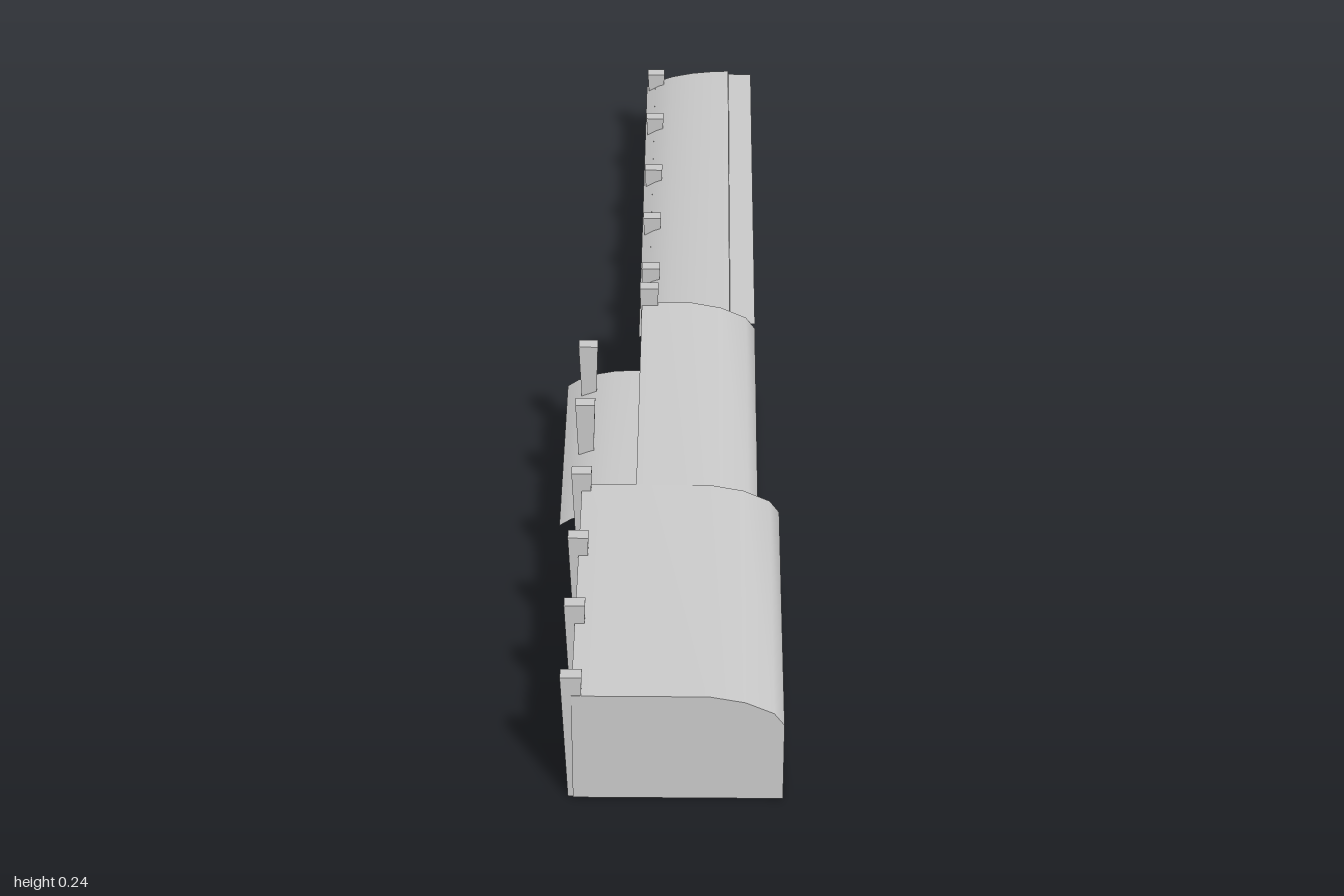
import * as THREE from 'three';
import { toCreasedNormals } from 'three/addons/utils/BufferGeometryUtils.js';

const material = new THREE.MeshStandardMaterial({ color: 0xcccccc, side: THREE.DoubleSide });

function addMesh(parent, name, geometry) {
  const mesh = new THREE.Mesh(geometry, material);
  mesh.name = name;
  parent.add(mesh);
  return mesh;
}

// Closed hall: straight left wall, flat roof and a rounded right shoulder
function hall(left, right, zBack, zFront) {
  const s = new THREE.Shape();
  s.moveTo(left, 0.003);
  s.lineTo(right, 0.003);
  s.lineTo(right, 0.15);
  s.lineTo(right - 0.016, 0.173);
  s.lineTo(right - 0.06, 0.194);
  s.lineTo(right - 0.115, 0.205);
  s.lineTo(left, 0.205);
  const g = new THREE.ExtrudeGeometry(s, { depth: zFront - zBack, bevelEnabled: false });
  g.translate(0, 0, zBack);
  return toCreasedNormals(g, 0.65);
}

// Thin sheet swept along z from a cross-section of [x, y] points
function sheet(points, zBack, zFront) {
  const positions = [], index = [];
  points.forEach(([x, y], i) => {
    positions.push(x, y, zBack, x, y, zFront);
    if (i > 0) {
      const a = 2 * (i - 1);
      index.push(a, a + 1, a + 2, a + 1, a + 3, a + 2);
    }
  });
  const g = new THREE.BufferGeometry();
  g.setAttribute('position', new THREE.Float32BufferAttribute(positions, 3));
  g.setIndex(index);
  g.computeVertexNormals();
  return toCreasedNormals(g, 0.6);
}

// Buttress post that narrows towards the ground
function post(height) {
  const g = new THREE.BoxGeometry(0.033, height, 0.022);
  g.translate(0, height / 2, 0);
  const p = g.attributes.position;
  for (let i = 0; i < p.count; i++) {
    if (p.getY(i) < 0.001) {
      p.setX(i, p.getX(i) * 0.5);
      p.setZ(i, p.getZ(i) * 0.4);
    }
  }
  g.computeVertexNormals();
  return g;
}

export function createModel() {
  const model = new THREE.Group();
  model.name = 'longBuilding';

  // Enclosed halls
  addMesh(model, 'frontHall', hall(-0.145, 0.18, 0.455, 1));
  addMesh(model, 'middleHall', hall(-0.056, 0.145, -0.095, 0.455));

  // Open rear platform: back wall and arched canopy with a small step
  addMesh(model, 'rearWall', sheet([[-0.045, 0.003], [-0.045, 0.142]], -1, -0.095));
  addMesh(model, 'rearCanopy', sheet([
    [-0.062, 0.13], [-0.04, 0.143], [-0.01, 0.154], [0.03, 0.162],
    [0.07, 0.166], [0.1, 0.167], [0.101, 0.16], [0.145, 0.16],
  ], -1, -0.095));

  // Side canopy beside the middle hall
  addMesh(model, 'sideCanopy', sheet([
    [-0.184, 0.12], [-0.165, 0.133], [-0.135, 0.145], [-0.1, 0.152], [-0.056, 0.154],
  ], 0.045, 0.455));

  // Rows of buttress posts
  const posts = new THREE.Group();
  posts.name = 'buttressPosts';
  model.add(posts);
  const rows = [
    { x: -0.145, height: 0.24, zs: [0.989, 0.813, 0.638, 0.463, 0.267, 0.091] },
    { x: -0.043, height: 0.24, zs: [-0.095] },
    { x: -0.043, height: 0.17, zs: [-0.27, -0.445, -0.62, -0.815, -0.989] },
  ];
  for (const { x, height, zs } of rows) {
    for (const z of zs) addMesh(posts, 'buttressPost', post(height)).position.set(x, 0, z);
  }
  return model;
}
